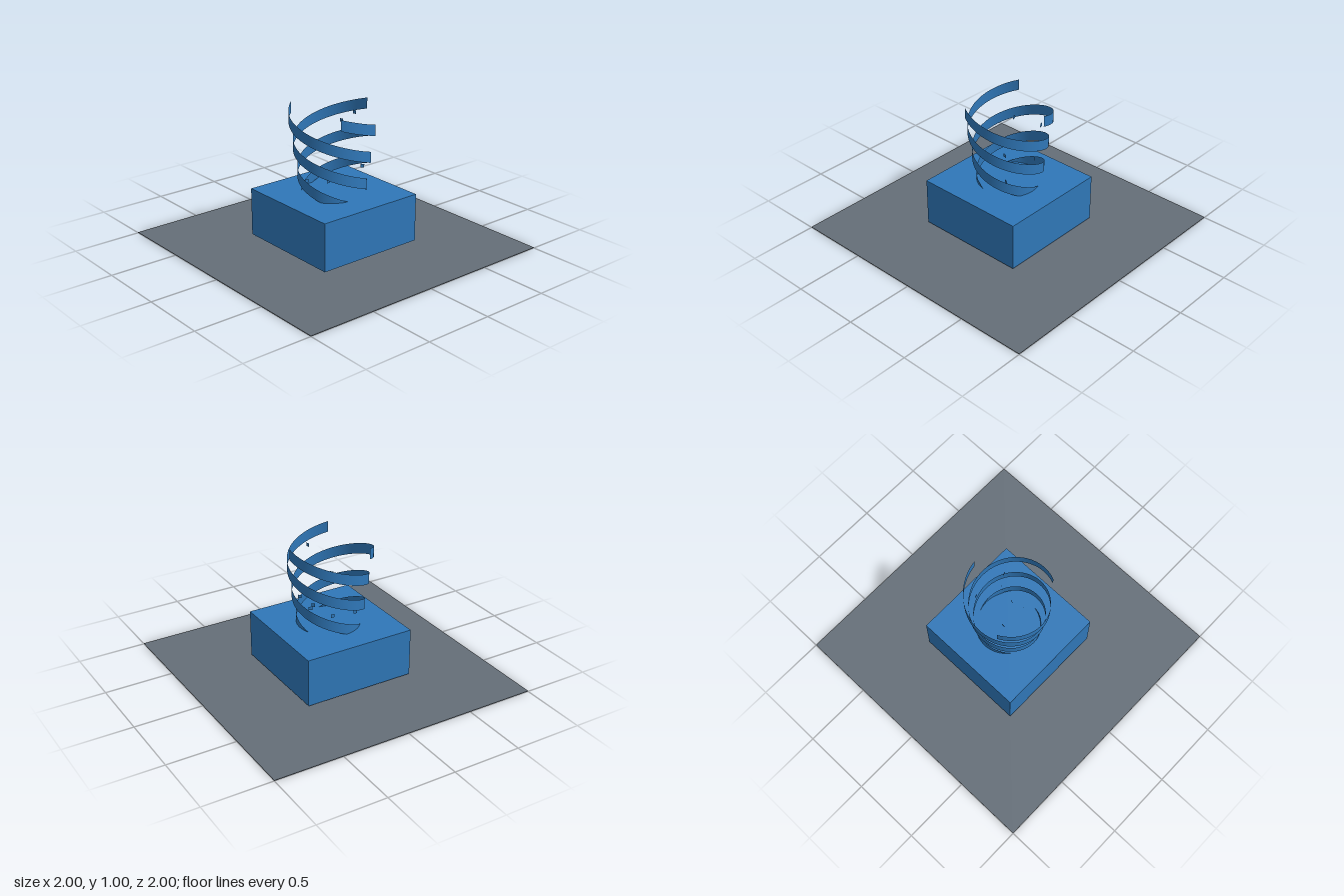
import * as THREE from 'three';

const blue = new THREE.MeshStandardMaterial({ color: 0x2f77b8, side: THREE.DoubleSide });
blue.name = 'blue';
const slate = new THREE.MeshStandardMaterial({ color: 0x646e78, side: THREE.DoubleSide });
slate.name = 'slate';

const TOP = 0.96, BOTTOM = 0.055, PITCH = 0.595, HEIGHT = 0.08;
const radiusAt = (y) => 0.31 - 0.143 * (TOP - y);

// Upright strip winding down a widening cone, starting at the given angle
function ribbonGeometry(startAngle, steps = 120) {
  const positions = [], index = [];
  for (let i = 0; i <= steps; i++) {
    const y = TOP - (TOP - BOTTOM) * i / steps;
    const a = startAngle - (TOP - y) / PITCH * Math.PI * 2;
    const x = radiusAt(y) * Math.cos(a), z = radiusAt(y) * Math.sin(a);
    positions.push(x, y + HEIGHT / 2, z, x, y - HEIGHT / 2, z);
    if (i < steps) {
      const k = i * 2;
      index.push(k, k + 2, k + 1, k + 1, k + 2, k + 3);
    }
  }
  const g = new THREE.BufferGeometry();
  g.setAttribute('position', new THREE.Float32BufferAttribute(positions, 3));
  g.setIndex(index);
  g.computeVertexNormals();
  return g;
}

export function createModel() {
  const model = new THREE.Group();
  const add = (name, geometry, material, x = 0, y = 0, z = 0) => {
    const mesh = new THREE.Mesh(geometry, material);
    mesh.name = name;
    mesh.position.set(x, y, z);
    model.add(mesh);
    return mesh;
  };

  // Ground sheet and pedestal
  add('ground', new THREE.BoxGeometry(2, 0.004, 2), slate, 0, 0.002, 0);
  add('pedestal', new THREE.BoxGeometry(0.82, 0.35, 0.82), blue, 0, 0.2, 0);

  // Three spiral ribbons, a third of a turn apart
  for (let i = 0; i < 3; i++) {
    add('spiralRibbon' + (i + 1), ribbonGeometry(-Math.PI / 2 + i * Math.PI * 2 / 3), blue);
  }

  // Small upright flakes floating inside the spiral: x, y, z, turn
  const flakes = [
    [0.085, 0.955, -0.12, 0.2], [-0.125, 0.83, -0.18, 0.2], [0.08, 0.695, 0.07, 0.7],
    [0.115, 0.56, -0.17, 0.9], [-0.07, 0.575, -0.17, 0.8], [-0.11, 0.455, 0.145, 1.4],
    [-0.05, 0.435, 0, 1.5], [0.12, 0.44, -0.08, 1.2],
  ];
  const flake = new THREE.PlaneGeometry(0.026, 0.026);
  flakes.forEach(([x, y, z, turn], i) => {
    add('flake' + (i + 1), flake, blue, x, y, z).rotation.y = turn;
  });

  return model;
}
